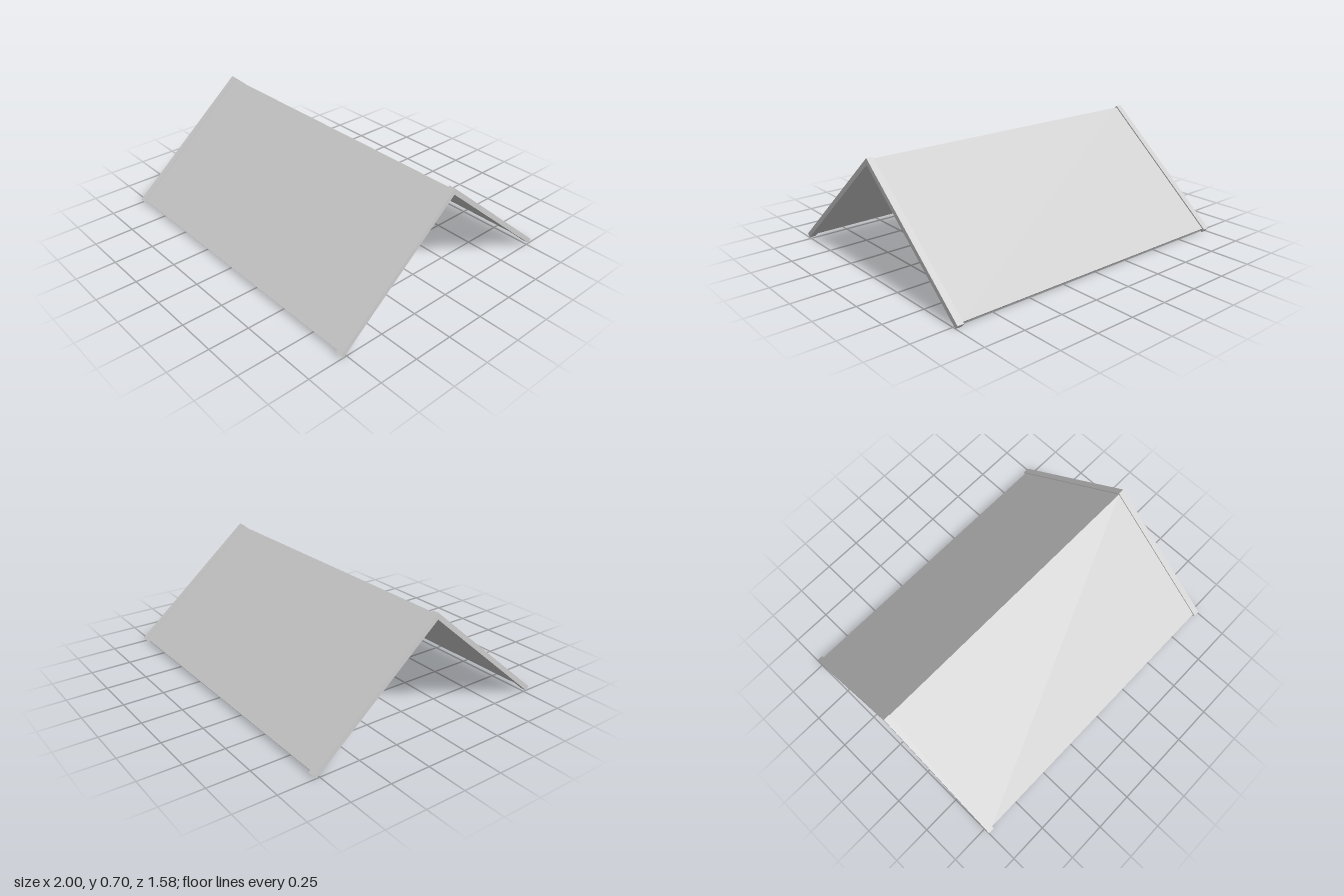
import * as THREE from 'three';

const PITCH = Math.atan(0.852);

// Chevron cross-section: apex height, eave half-span and thickness, extruded along x
function chevron(name, apex, span, thickness, x0, x1, material) {
  const eaveY = apex - span * Math.tan(PITCH);
  const innerApex = apex - thickness / Math.cos(PITCH);
  const innerZ = span - thickness * Math.sin(PITCH);
  const innerY = eaveY - thickness * Math.cos(PITCH);
  const shape = new THREE.Shape([
    [0, apex], [-span, eaveY], [-innerZ, innerY],
    [0, innerApex], [innerZ, innerY], [span, eaveY],
  ].map(([z, y]) => new THREE.Vector2(z, y)));
  const geometry = new THREE.ExtrudeGeometry(shape, { depth: x1 - x0, bevelEnabled: false });
  geometry.rotateY(Math.PI / 2).translate(x0, 0, 0);
  const mesh = new THREE.Mesh(geometry, material);
  mesh.name = name;
  return mesh;
}

export function createModel() {
  const group = new THREE.Group();
  group.name = 'gableRoof';
  const grey = new THREE.MeshStandardMaterial({ color: 0xcccccc });
  grey.name = 'light grey';

  // Thin roof slopes between the thicker gable trims
  group.add(chevron('roofPanels', 0.685, 0.775, 0.013, -0.96, 0.96, grey));
  group.add(chevron('leftGableTrim', 0.695, 0.79, 0.029, 0.96, 1, grey));
  group.add(chevron('rightGableTrim', 0.695, 0.79, 0.029, -1, -0.96, grey));
  return group;
}
